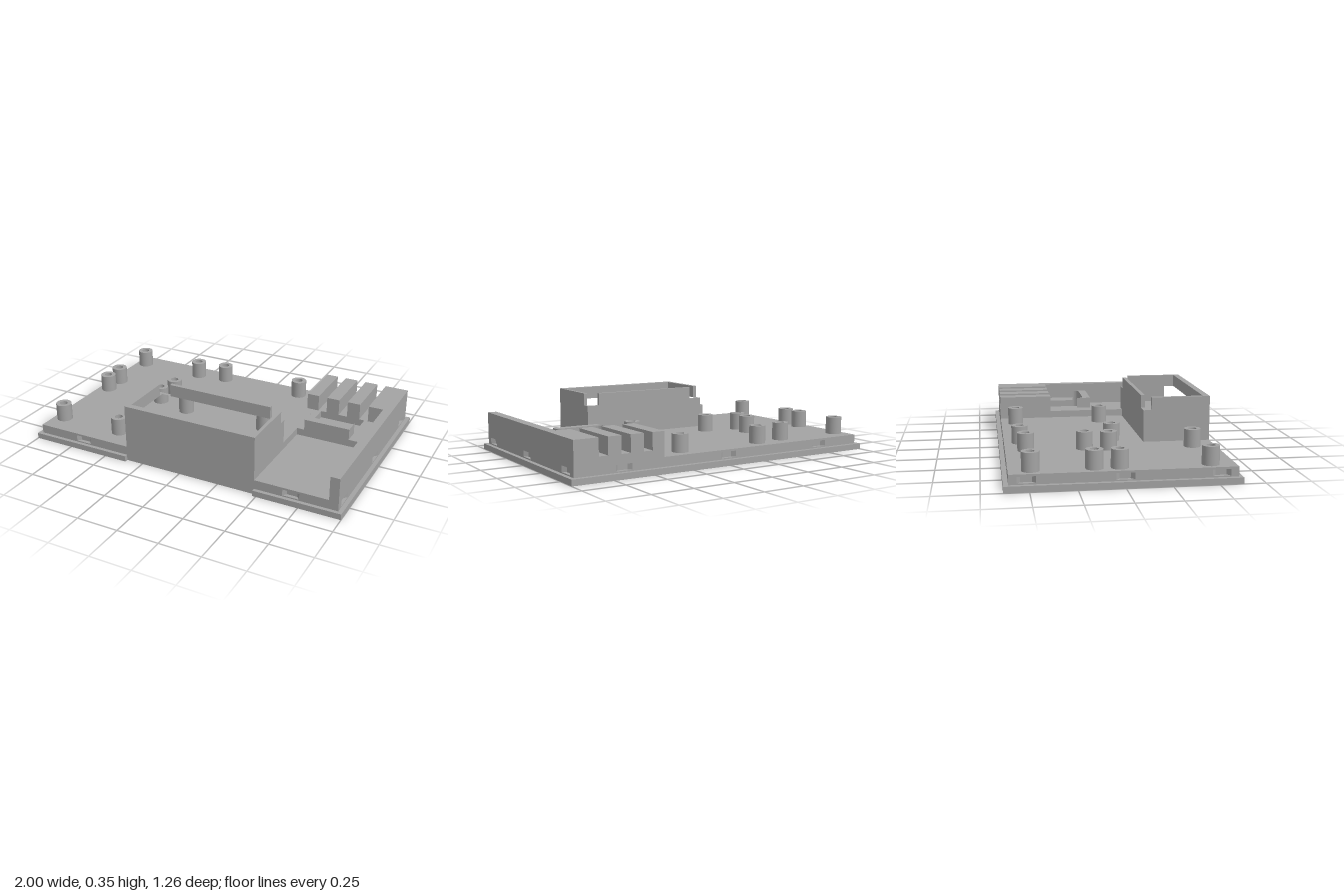
import * as THREE from 'three';

export function createModel() {
  const model = new THREE.Group();
  const plastic = new THREE.MeshStandardMaterial({ color: 0xa3a3a3 });
  plastic.name = 'grey plastic';

  const add = (name, geometry) => {
    const mesh = new THREE.Mesh(geometry, plastic);
    mesh.name = name;
    model.add(mesh);
    return mesh;
  };
  const rect = (x0, x1, z0, z1) => [[x0, z0], [x1, z0], [x1, z1], [x0, z1]];
  const plan = (points) => points.map(([x, z]) => new THREE.Vector2(x, -z));
  // Extrudes a plan outline of [x, z] points upward from y0 to y1
  const slab = (name, points, y0, y1, holes = []) => {
    const shape = new THREE.Shape(plan(points));
    for (const hole of holes) shape.holes.push(new THREE.Path(plan(hole)));
    const g = new THREE.ExtrudeGeometry(shape, { depth: y1 - y0, bevelEnabled: false });
    g.rotateX(-Math.PI / 2);
    g.translate(0, y0, 0);
    return add(name, g);
  };
  const box = (name, x0, x1, y0, y1, z0, z1) => {
    const g = new THREE.BoxGeometry(x1 - x0, y1 - y0, z1 - z0);
    g.translate((x0 + x1) / 2, (y0 + y1) / 2, (z0 + z1) / 2);
    return add(name, g);
  };

  // Base flange, cut back in front of the compartment
  slab('baseFlange', [[-1, -0.635], [1, -0.635], [1, 0.63], [0.48, 0.63], [0.48, 0.608],
    [-0.355, 0.608], [-0.355, 0.63], [-1, 0.63]], 0, 0.035);

  // Raised deck, with tapered snap notches around its middle layer
  const X = 0.975, Z = 0.608, D = 0.022;
  const notch = [[-0.05, 0], [-0.03, D], [0.03, D], [0.05, 0]];
  const outline = [];
  outline.push([-X, Z]);
  for (const c of [-0.665, 0.7]) for (const [t, d] of notch) outline.push([c + t, Z - d]);
  outline.push([X, Z]);
  for (const c of [0.515, 0, -0.515]) for (const [t, d] of notch) outline.push([X - d, c - t]);
  outline.push([X, -Z]);
  for (const c of [0.68, 0, -0.68]) for (const [t, d] of notch) outline.push([c - t, -Z + d]);
  outline.push([-X, -Z]);
  for (const c of [-0.515, 0, 0.515]) for (const [t, d] of notch) outline.push([-X + d, c + t]);

  const cavity = rect(-0.33, 0.46, 0.23, 0.57);
  const groove = [[0.572, 0.005], [0.815, 0.005], [0.815, 0.585], [0.805, 0.592],
    [0.805, 0.602], [0.588, 0.602], [0.588, 0.592], [0.572, 0.585]];
  const deck = rect(-X, X, -Z, Z);
  slab('deckBottom', deck, 0.035, 0.042, [cavity]);
  slab('deckNotchedLayer', outline, 0.042, 0.078, [cavity]);
  slab('deckTop', deck, 0.078, 0.09, [cavity, groove]);

  // Open compartment with stepped rear corners
  slab('compartmentWalls', rect(-0.355, 0.48, 0.21, Z), 0.09, 0.28, [cavity]);
  slab('compartmentRim', [[-0.355, 0.258], [-0.355, Z], [0.48, Z], [0.48, 0.258],
    [0.46, 0.258], [0.46, 0.57], [-0.33, 0.57], [-0.33, 0.258]], 0.28, 0.355);
  box('compartmentRearRim', -0.27, 0.4, 0.28, 0.355, 0.21, 0.233);

  // Long side wall and low rail
  box('sideWall', 0.92, X, 0.09, 0.233, -Z, Z);
  box('lowRail', 0.43, 0.48, 0.09, 0.133, 0.005, 0.21);

  // Rear cable block: solid bottom with ribs between three slots
  box('cableBlock', 0.43, 0.92, 0.09, 0.133, -Z, -0.275);
  for (const [x0, x1] of [[0.43, 0.505], [0.56, 0.64], [0.695, 0.775], [0.83, 0.92]]) {
    box('cableRib', x0, x1, 0.133, 0.233, -Z, -0.275);
  }

  // Connector seat: shelves on both sides of a pocket closed by a filleted lip
  box('seatShelf', 0.43, 0.525, 0.09, 0.133, -0.275, 0.005);
  box('seatShelf', 0.808, 0.92, 0.09, 0.133, -0.275, 0.005);
  const lip = [[0.525, 0.005], [0.808, 0.005]];
  const r = 0.04;
  for (let i = 0; i <= 6; i++) {
    const a = (i / 6) * Math.PI / 2;
    lip.push([0.808 - r + r * Math.cos(a), -0.045 - r + r * Math.sin(a)]);
  }
  for (let i = 0; i <= 6; i++) {
    const a = Math.PI / 2 + (i / 6) * Math.PI / 2;
    lip.push([0.525 + r + r * Math.cos(a), -0.045 - r + r * Math.sin(a)]);
  }
  slab('seatLip', lip, 0.09, 0.2);

  // Hollow mounting posts
  const profile = [[0.048, 0], [0.048, 0.105], [0.024, 0.105], [0.024, 0.002], [0, 0.002]];
  const points = [];
  profile.forEach(([x, y], i) => {
    // doubled inner points keep the rims sharp
    points.push(new THREE.Vector2(x, y));
    if (i > 0 && i < profile.length - 1) points.push(new THREE.Vector2(x, y));
  });
  const post = new THREE.LatheGeometry(points, 32);
  const spots = [[-0.905, -0.49], [-0.47, -0.49], [-0.905, -0.155], [-0.47, -0.155],
    [-0.275, -0.515], [0.27, -0.515], [-0.275, 0.03], [0.27, 0.03],
    [-0.905, -0.02], [-0.495, -0.02], [-0.905, 0.47], [-0.495, 0.47]];
  for (const [x, z] of spots) add('mountingPost', post).position.set(x, 0.09, z);

  return model;
}
